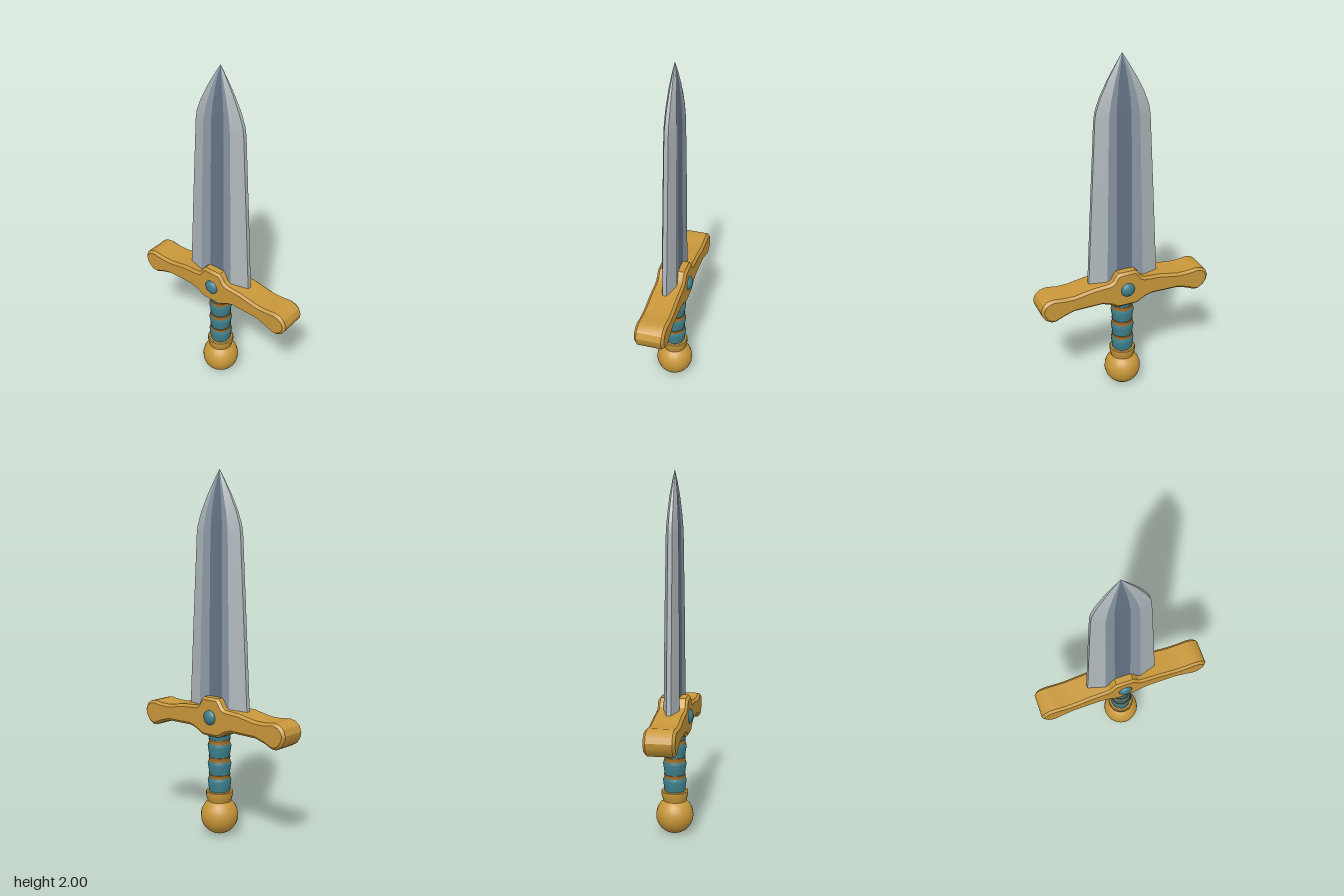
import * as THREE from 'three';
import { toCreasedNormals } from 'three/addons/utils/BufferGeometryUtils.js';

const material = (name, color, side = THREE.FrontSide) => {
  const m = new THREE.MeshStandardMaterial({ color, side });
  m.name = name;
  return m;
};

export function createModel() {
  const gold = material('gold', 0xc8973a);
  const bronze = material('bronze', 0x9c6c2a);
  const teal = material('teal', 0x3c7f8c);
  const edgeSteel = material('edge steel', 0xb0b8bb, THREE.DoubleSide);
  const midSteel = material('mid steel', 0x8b98a5, THREE.DoubleSide);
  const darkSteel = material('dark steel', 0x667386, THREE.DoubleSide);

  const model = new THREE.Group();
  model.name = 'sword';
  const add = (name, geometry, mat, parent = model) => {
    const mesh = new THREE.Mesh(geometry, mat);
    mesh.name = name;
    parent.add(mesh);
    return mesh;
  };

  // Blade stations: y, half width, ridge x, fuller x, ridge z, fuller z, edge z
  const stations = [
    [0.64, 0.208, 0.108, 0.046, 0.044, 0.034, 0.012],
    [1.20, 0.179, 0.097, 0.044, 0.040, 0.031, 0.012],
    [1.66, 0.154, 0.086, 0.041, 0.034, 0.027, 0.011],
    [1.71, 0.147, 0.081, 0.039, 0.032, 0.026, 0.010],
    [1.78, 0.122, 0.068, 0.034, 0.028, 0.023, 0.009],
    [1.87, 0.078, 0.044, 0.023, 0.020, 0.017, 0.006],
    [1.94, 0.037, 0.021, 0.011, 0.011, 0.010, 0.003],
    [2.00, 0, 0, 0, 0, 0, 0],
  ];
  // Closed cross-section: front from +x to -x, then back again
  const section = ([y, w, r, f, zr, zf, ze]) => {
    const front = [[w, ze], [r, zr], [f, zf], [0, zf * 0.94], [-f, zf], [-r, zr], [-w, ze]];
    const back = front.map(([x, z]) => [-x, -z]);
    return [...front, ...back].map(([x, z]) => [x, y, z]);
  };
  const rings = stations.map(section);
  const strip = (first, last) => {
    const pos = [], index = [];
    const n = last - first + 1;
    rings.forEach((ring, j) => {
      for (let i = first; i <= last; i++) pos.push(...ring[i % ring.length]);
      if (j === 0) return;
      for (let i = 0; i < n - 1; i++) {
        const a0 = (j - 1) * n + i, a1 = j * n + i;
        index.push(a0 + 1, a0, a1, a0 + 1, a1, a1 + 1);
      }
    });
    const g = new THREE.BufferGeometry();
    g.setAttribute('position', new THREE.Float32BufferAttribute(pos, 3));
    g.setIndex(index);
    g.computeVertexNormals();
    return g;
  };
  const blade = new THREE.Group();
  blade.name = 'blade';
  model.add(blade);
  for (const [side, o] of [['front', 0], ['back', 7]]) {
    add(side + 'LeftBevel', strip(o, o + 1), edgeSteel, blade);
    add(side + 'LeftFlat', strip(o + 1, o + 2), midSteel, blade);
    add(side + 'Fuller', strip(o + 2, o + 4), darkSteel, blade);
    add(side + 'RightFlat', strip(o + 4, o + 5), midSteel, blade);
    add(side + 'RightBevel', strip(o + 5, o + 6), edgeSteel, blade);
    add(side + 'CuttingEdge', strip(o + 6, o + 7), edgeSteel, blade);
  }

  // Crossguard: mirrored outline with bevelled rims
  const half = [
    [0.05, 0.783], [0.064, 0.772], [0.085, 0.738], [0.105, 0.728], [0.20, 0.722], [0.31, 0.702],
    [0.37, 0.702], [0.43, 0.71], [0.465, 0.702], [0.49, 0.682], [0.503, 0.65], [0.498, 0.62],
    [0.478, 0.588], [0.445, 0.568], [0.42, 0.568], [0.37, 0.59], [0.31, 0.608], [0.15, 0.61],
    [0.11, 0.598], [0.065, 0.572], [0.045, 0.568],
  ];
  const outline = [...half, ...half.map(([x, y]) => [-x, y]).reverse()]
    .reverse().map(([x, y]) => new THREE.Vector2(x, y));
  const bevel = 0.014, depth = 0.165;
  const guard = new THREE.ExtrudeGeometry(new THREE.Shape(outline), {
    depth: depth - 2 * bevel, bevelThickness: bevel, bevelSize: bevel,
    bevelOffset: -bevel, bevelSegments: 1,
  });
  guard.translate(0, 0, bevel - depth / 2);
  add('crossguard', toCreasedNormals(guard, 0.5), gold);

  // Round gem on each face of the guard
  for (const s of [1, -1]) {
    const gem = add(s > 0 ? 'frontGem' : 'backGem', new THREE.SphereGeometry(0.042, 16, 10), teal);
    gem.position.set(0, 0.674, s * 0.078);
    gem.scale.z = 0.64;
  }

  const lathe = (points, segments = 20) => toCreasedNormals(
    new THREE.LatheGeometry(points.map(([r, y]) => new THREE.Vector2(r, y)), segments), 0.6);

  // Grip swells between the bands
  add('grip', lathe([
    [0.057, 0.23], [0.061, 0.27], [0.066, 0.31], [0.055, 0.332], [0.059, 0.36], [0.066, 0.405],
    [0.055, 0.43], [0.059, 0.46], [0.066, 0.505], [0.056, 0.53], [0.06, 0.55], [0.062, 0.60],
  ]), teal);
  for (const y of [0.33, 0.43, 0.53]) {
    add('gripBand', lathe([
      [0.05, y - 0.013], [0.061, y - 0.013], [0.058, y], [0.061, y + 0.013], [0.05, y + 0.013],
    ]), bronze);
  }

  // Collar and ball pommel
  add('collar', lathe([
    [0.04, 0.19], [0.066, 0.19], [0.07, 0.208], [0.075, 0.222], [0.075, 0.244], [0.07, 0.248], [0.04, 0.248],
  ]), gold);
  add('pommel', new THREE.SphereGeometry(0.105, 20, 14), gold).position.y = 0.105;

  return model;
}
